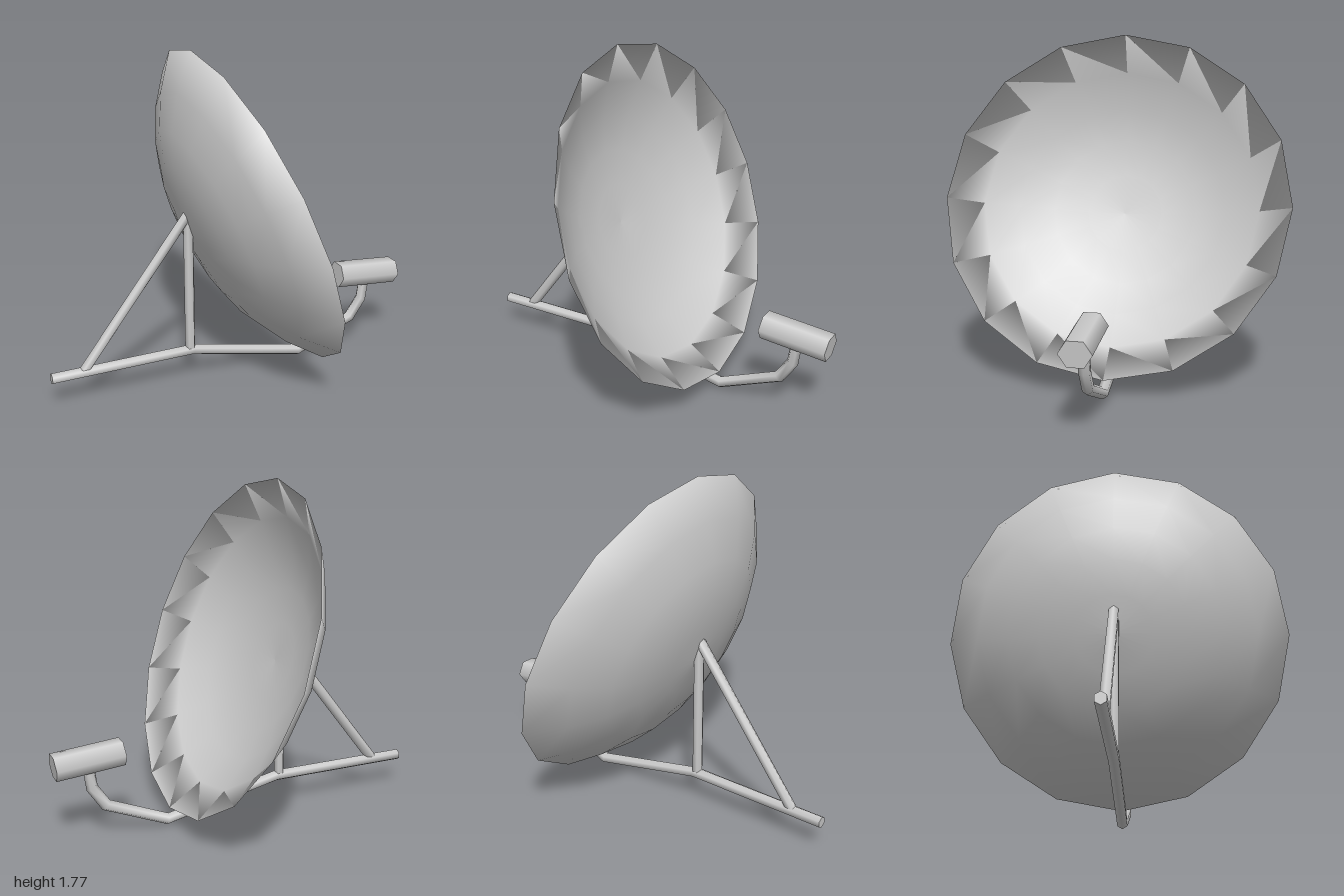
import * as THREE from 'three';

const material = new THREE.MeshStandardMaterial({ color: 0xcccccc });
const DISH_TILT = -1.222;
const DISH_AXIS = [-Math.sin(DISH_TILT), Math.cos(DISH_TILT)];

function addMesh(parent, name, geometry) {
  const mesh = new THREE.Mesh(geometry, material);
  mesh.name = name;
  parent.add(mesh);
  return mesh;
}

// Mitred hexagonal bar along points [x, y]; the optional normals slant its end cuts
function bar(path, radius, startCut, endCut) {
  const sides = 6;
  const pts = path.map(([x, y]) => new THREE.Vector3(x, y, 0));
  const dirs = pts.slice(1).map((p, i) => p.clone().sub(pts[i]).normalize());
  const zAxis = new THREE.Vector3(0, 0, 1);
  const rings = pts.map((p, i) => {
    const before = dirs[Math.max(i - 1, 0)];
    const after = dirs[Math.min(i, dirs.length - 1)];
    const cut = i === 0 ? startCut : i === pts.length - 1 ? endCut : null;
    const plane = cut ? new THREE.Vector3(cut[0], cut[1], 0) : before.clone().add(after);
    const up = new THREE.Vector3(-before.y, before.x, 0);
    return Array.from({ length: sides }, (_, k) => {
      const a = (k / sides) * Math.PI * 2;
      const o = up.clone().multiplyScalar(Math.cos(a) * radius).addScaledVector(zAxis, Math.sin(a) * radius);
      o.addScaledVector(before, -o.dot(plane) / before.dot(plane));
      return o.add(p);
    });
  });
  const last = rings.length - 1;
  const verts = [...rings, rings[0], rings[last]].flat();
  const index = [];
  for (let i = 0; i < last; i++) {
    for (let k = 0; k < sides; k++) {
      const a = i * sides + k, b = i * sides + ((k + 1) % sides);
      index.push(a, b, a + sides, b, b + sides, a + sides);
    }
  }
  // flat end caps
  const s = rings.length * sides, e = s + sides;
  for (let k = 1; k < sides - 1; k++) index.push(s, s + k + 1, s + k, e, e + k, e + k + 1);
  const geometry = new THREE.BufferGeometry().setFromPoints(verts);
  geometry.setIndex(index);
  geometry.computeVertexNormals();
  return geometry;
}

export function createModel() {
  const model = new THREE.Group();
  model.name = 'satelliteDish';

  // Reflector: thin bowl, back surface out to the rim, then the inner surface back in
  const back = [[0, -0.335], [0.2, -0.324], [0.383, -0.293], [0.55, -0.236], [0.725, -0.138], [0.894, 0]];
  const inner = back.slice(0, -1).reverse().map(([r, y]) => [r, y + 0.015]);
  const profile = [...back, ...inner].map(([r, y]) => new THREE.Vector2(r, y));
  const dish = addMesh(model, 'reflector', new THREE.LatheGeometry(profile, 16));
  dish.rotation.z = DISH_TILT;
  dish.position.set(0.085, 0.932, 0);

  // Base bar that runs under the reflector and bends up to the receiver
  addMesh(model, 'baseArm', bar([
    [-1, 0.17], [-0.23, 0.17], [0.4, 0.032], [0.73, 0.17], [0.8, 0.275], [0.815, 0.39],
  ], 0.03));

  // Upright and brace, both cut to the slope of the reflector's back
  addMesh(model, 'upright', bar([[-0.245, 0.17], [-0.245, 0.87]], 0.028, null, DISH_AXIS));
  addMesh(model, 'brace', bar([[-0.82, 0.19], [-0.257, 0.925]], 0.028, [0, 1], DISH_AXIS));

  // Receiver: slightly flattened hexagonal block aimed along the arm
  const horn = new THREE.CylinderGeometry(0.079, 0.079, 0.357, 6);
  horn.rotateZ(-Math.PI / 2);
  horn.scale(1, 0.9, 1);
  const receiver = addMesh(model, 'receiver', horn);
  receiver.rotation.z = -0.09;
  receiver.position.set(0.815, 0.43, 0);

  return model;
}
